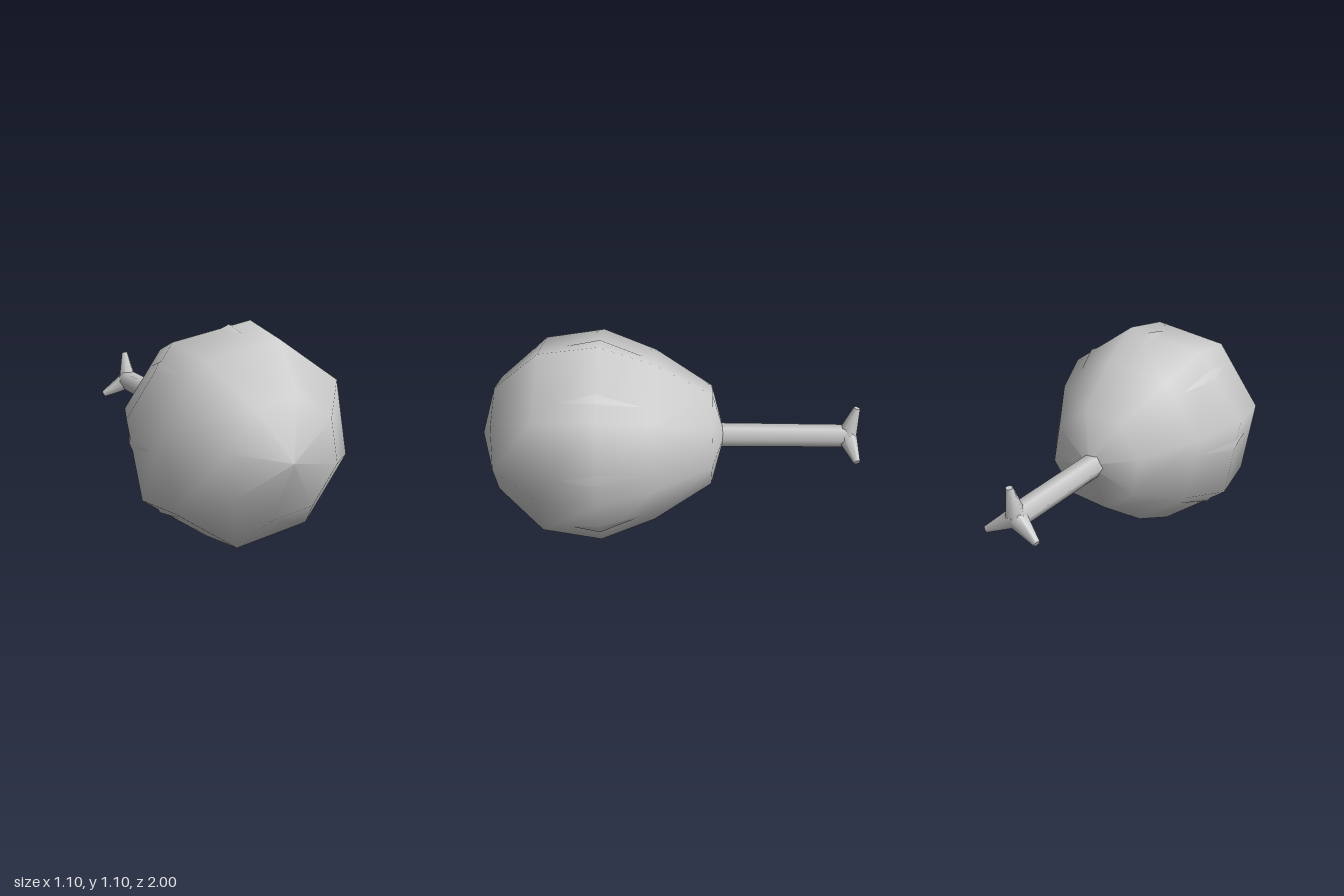
import * as THREE from 'three';

const material = new THREE.MeshStandardMaterial({ color: 0xcccccc });

// Eight-sided egg lying along z, from [radius, z] pairs
function egg(profile, turnDegrees) {
  const points = profile.map(([r, z]) => new THREE.Vector2(r, z));
  const geometry = new THREE.LatheGeometry(points, 8);
  geometry.rotateX(Math.PI / 2);
  geometry.rotateZ(THREE.MathUtils.degToRad(turnDegrees));
  return geometry;
}

// Tapered six-sided rod between two points
function rod(from, to, r0, r1) {
  const axis = to.clone().sub(from);
  const geometry = new THREE.CylinderGeometry(r1, r0, axis.length(), 6);
  geometry.rotateY(Math.PI / 6);
  const turn = new THREE.Quaternion().setFromUnitVectors(new THREE.Vector3(0, 1, 0), axis.normalize());
  geometry.applyQuaternion(turn);
  geometry.translate(...from.clone().add(to).multiplyScalar(0.5).toArray());
  return geometry;
}

export function createModel() {
  const model = new THREE.Group();
  model.name = 'meatOnBone';

  function add(name, geometry, x, y) {
    const mesh = new THREE.Mesh(geometry, material);
    mesh.name = name;
    mesh.position.set(x, y, 0);
    model.add(mesh);
  }

  // Meat, with a slightly turned inner layer whose corners just break the surface
  add('meat', egg([[0, -0.29], [0.263, -0.22], [0.455, 0.08], [0.563, 0.36],
    [0.517, 0.67], [0.3, 0.91], [0, 1]], -12.3), 0, 0.555);
  add('innerMeat', egg([[0, -0.25], [0.24, -0.2], [0.425, 0.08], [0.538, 0.36],
    [0.48, 0.66], [0.27, 0.88], [0, 0.96]], 0), 0, 0.555);

  // Bone shaft
  add('boneShaft', rod(new THREE.Vector3(0, 0, -0.2), new THREE.Vector3(0, 0, -0.96), 0.064, 0.06), -0.01, 0.547);

  // Three flared knobs at the end of the bone
  for (let i = 0; i < 3; i++) {
    const a = Math.PI / 2 + i * Math.PI * 2 / 3;
    const tip = new THREE.Vector3(Math.cos(a) * 0.165, Math.sin(a) * 0.165, -0.982);
    add('boneKnob' + (i + 1), rod(new THREE.Vector3(0, 0, -0.94), tip, 0.055, 0.018), -0.01, 0.547);
  }
  return model;
}
